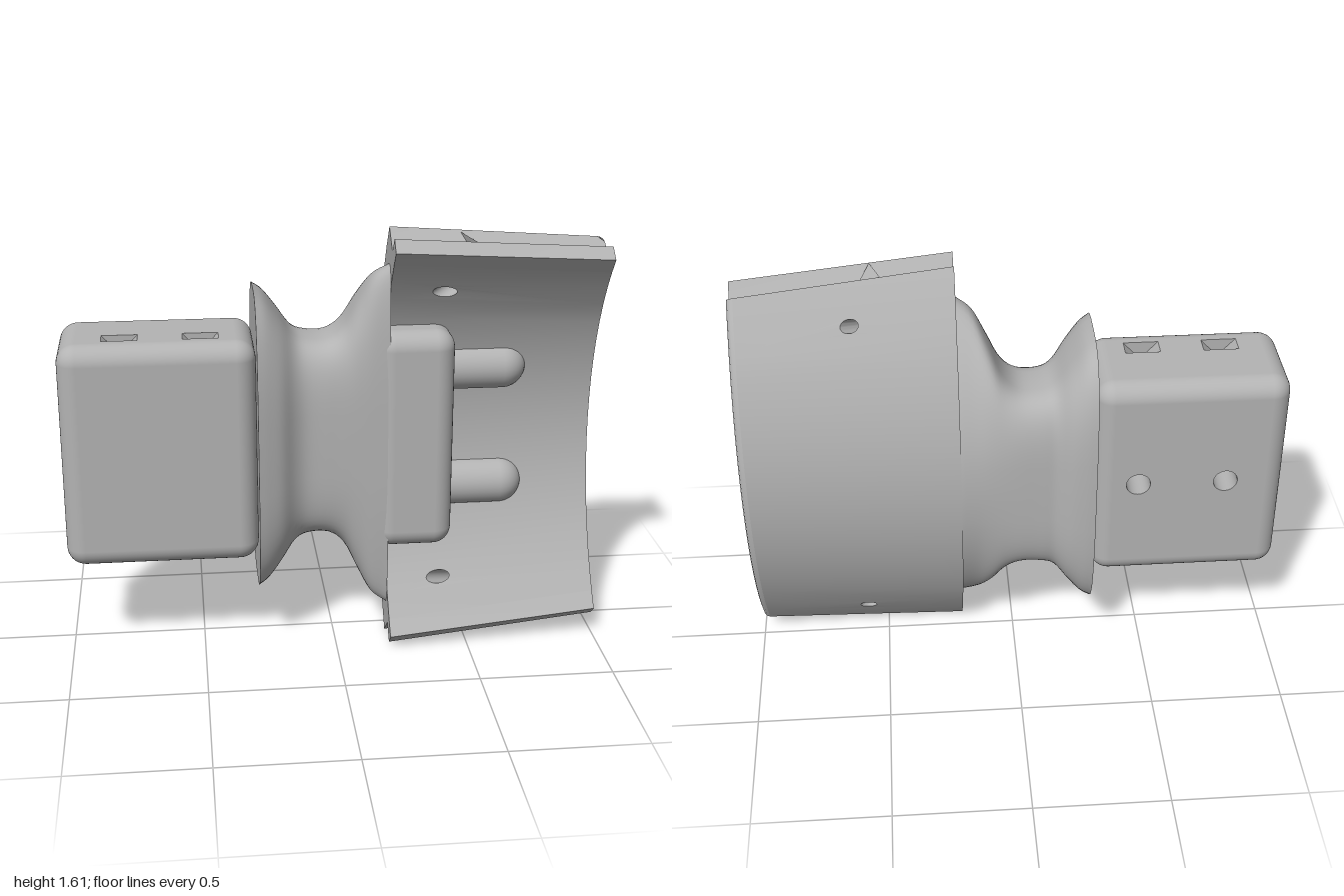
import * as THREE from 'three';
import { mergeGeometries, toCreasedNormals } from 'three/addons/utils/BufferGeometryUtils.js';
import { RoundedBoxGeometry } from 'three/addons/geometries/RoundedBoxGeometry.js';
import { ConvexGeometry } from 'three/addons/geometries/ConvexGeometry.js';

const V = (x, y, z) => new THREE.Vector3(x, y, z);
const MID = 0.815; // height of the symmetry plane
const grey = new THREE.MeshStandardMaterial({ color: 0xb3b3b3, side: THREE.DoubleSide });
grey.name = 'grey plastic';

// Skin a list of equally long rings of points
function loft(rings, closed = true) {
  const n = rings[0].length, index = [];
  for (let i = 0; i < rings.length - 1; i++) {
    for (let j = 0; j < (closed ? n : n - 1); j++) {
      const k = (j + 1) % n, a = i * n + j, b = i * n + k;
      index.push(a, b, b + n, a, b + n, a + n);
    }
  }
  const g = new THREE.BufferGeometry().setFromPoints(rings.flat());
  g.setIndex(index);
  return toCreasedNormals(g, 0.6);
}

function ellipse(x, y, rx, ry, n = 24) {
  return Array.from({ length: n }, (_, i) => {
    const a = i / n * Math.PI * 2;
    return new THREE.Vector2(x + rx * Math.cos(a), y + ry * Math.sin(a));
  });
}

function holedRect(x0, y0, x1, y1, holes) {
  const shape = new THREE.Shape([[x0, y0], [x1, y0], [x1, y1], [x0, y1]].map(p => new THREE.Vector2(...p)));
  holes.forEach(h => shape.holes.push(new THREE.Path(h)));
  const g = new THREE.ShapeGeometry(shape);
  g.deleteAttribute('uv');
  return g;
}

function mesh(geometry, name, parent) {
  const m = new THREE.Mesh(geometry, grey);
  m.name = name;
  parent.add(m);
  return m;
}

// Rounded block with sunken pockets: rounded edges plus six flat panels with holes
function blockGeometry(size, r, pockets) {
  const half = size.clone().multiplyScalar(0.5);
  const round = new RoundedBoxGeometry(size.x, size.y, size.z, 5, r);
  const p = round.attributes.position, nm = round.attributes.normal, pos = [], nor = [];
  for (let i = 0; i < p.count; i += 3) {
    const flat = ['X', 'Y', 'Z'].some(c => [0, 1, 2].every(k =>
      Math.abs(Math.abs(p['get' + c](i + k)) - half[c.toLowerCase()]) < 1e-5));
    if (flat) continue;
    for (let k = i; k < i + 3; k++) {
      pos.push(p.getX(k), p.getY(k), p.getZ(k));
      nor.push(nm.getX(k), nm.getY(k), nm.getZ(k));
    }
  }
  const edges = new THREE.BufferGeometry();
  edges.setAttribute('position', new THREE.Float32BufferAttribute(pos, 3));
  edges.setAttribute('normal', new THREE.Float32BufferAttribute(nor, 3));
  const parts = [edges];
  const X = V(1, 0, 0), Y = V(0, 1, 0), Z = V(0, 0, 1), neg = v => v.clone().negate();
  const faces = {
    right: [neg(Z), Y, X], left: [Z, Y, neg(X)], top: [X, neg(Z), Y],
    bottom: [X, Z, neg(Y)], front: [X, Y, Z], back: [neg(X), Y, neg(Z)],
  };
  for (const [name, [u, v, n]] of Object.entries(faces)) {
    const w = Math.abs(u.dot(half)) - r, h = Math.abs(v.dot(half)) - r;
    const list = pockets[name] || [];
    const m = new THREE.Matrix4().makeBasis(u, v, n).setPosition(n.clone().multiplyScalar(Math.abs(n.dot(half))));
    parts.push(holedRect(-w, -h, w, h, list.map(q => q.rim)).toNonIndexed().applyMatrix4(m));
    for (const q of list) {
      const ring = (sx, sy, z) => q.rim.map(a => V(q.u + (a.x - q.u) * sx, q.v + (a.y - q.v) * sy, z));
      parts.push(loft([ring(1, 1, 0), ring(q.taper, 1, -q.depth), ring(0, 0, -q.depth)]).applyMatrix4(m));
    }
  }
  return mergeGeometries(parts);
}

const roundPocket = (u, v, r, depth) => ({ u, v, depth, taper: 1, rim: ellipse(u, v, r, r) });
const slotPocket = (u, v, w, h, depth) => ({
  u, v, depth, taper: 0,
  rim: [[-w, -h], [w, -h], [w, h], [-w, h]].map(([a, b]) => new THREE.Vector2(u + a, v + b)),
});

// Flared neck: stations along x, rounded sections that bend to meet the curved plate
function neckGeometry() {
  // x, half height, front z, back z, squareness, bend
  const stations = [
    [-0.29, 0.575, 0.265, -0.265, 3.4, 0], [-0.25, 0.545, 0.25, -0.262, 3.4, 0],
    [-0.2, 0.48, 0.225, -0.25, 3.4, 0], [-0.15, 0.41, 0.18, -0.222, 3.6, 0],
    [-0.1, 0.385, 0.158, -0.218, 3.8, 0], [-0.02, 0.386, 0.155, -0.218, 3.8, 0.1],
    [0.04, 0.435, 0.155, -0.218, 3.4, 0.3], [0.09, 0.535, 0.155, -0.218, 3, 0.6],
    [0.14, 0.625, 0.155, -0.218, 2.7, 0.9], [0.2, 0.67, 0.155, -0.218, 2.5, 1],
  ];
  const a = new THREE.CatmullRomCurve3(stations.map(s => V(s[0], s[1], s[4])), false, 'catmullrom');
  const b = new THREE.CatmullRomCurve3(stations.map(s => V(s[2], s[3], s[5])), false, 'catmullrom');
  const rings = [], steps = 36, sides = 56;
  for (let i = 0; i <= steps; i++) {
    const { x, y: h, z: n } = a.getPoint(i / steps), { x: f, y: k, z: bend } = b.getPoint(i / steps);
    rings.push(Array.from({ length: sides }, (_, j) => {
      const t = j / sides * Math.PI * 2, pw = c => Math.sign(c) * Math.abs(c) ** (2 / n);
      const c = pw(Math.cos(t)), dy = h * pw(Math.sin(t));
      const sag = 1.25 - Math.sqrt(1.5625 - dy * dy);
      return V(x, MID + dy, (f + k) / 2 + (f - k) / 2 * c + bend * sag * (0.6 - 0.4 * c));
    }));
  }
  const cap = r => r.map(q => V(q.x, MID, 0));
  return loft([cap(rings[0]), ...rings, cap(rings[steps])]);
}

// Curved plate in polar form: t runs -1..1 over an arc that narrows with x
const IN = 1.08, STEP = 1.14, OUT = 1.25, X0 = 0.2, X1 = 1;
function platePoint(x, t, r, extra = 0) {
  const a = THREE.MathUtils.degToRad(t * (40 - 5 * (x - X0)) + extra);
  return V(x, MID + r * Math.sin(a), 1.03 - r * Math.cos(a));
}

function plateGeometry() {
  const bands = 16, parts = [], holeT = 0.8125;
  const skin = (r, x1, holeX, rx, ry) => {
    const strips = [];
    for (let i = 0; i < bands; i++) {
      const t0 = -1 + 2 * i / bands, t1 = t0 + 2 / bands, tc = (t0 + t1) / 2;
      const holes = Math.abs(Math.abs(tc) - holeT) < 0.01 ? [ellipse(holeX, tc, rx, ry)] : [];
      const g = holedRect(X0, t0, x1, t1, holes), p = g.attributes.position;
      for (let k = 0; k < p.count; k++) {
        const q = platePoint(p.getX(k), p.getY(k), r);
        p.setXYZ(k, q.x, q.y, q.z);
      }
      g.deleteAttribute('normal');
      strips.push(g);
    }
    parts.push(toCreasedNormals(mergeGeometries(strips), 0.5));
  };
  skin(IN, X1, 0.4, 0.045, 0.035);
  skin(OUT, 0.975, 0.575, 0.032, 0.03);
  // slanted screw holes
  for (const s of [-1, 1]) {
    parts.push(loft([
      ellipse(0.4, s * holeT, 0.045, 0.035).map(e => platePoint(e.x, e.y, IN)),
      ellipse(0.575, s * holeT, 0.032, 0.03).map(e => platePoint(e.x, e.y, OUT)),
    ]));
  }
  // side edges, the outer one softly rounded
  const edge = profile => loft(Array.from({ length: bands + 1 }, (_, i) =>
    profile.map(([x, r]) => platePoint(x, -1 + 2 * i / bands, r))), false);
  parts.push(edge([[X0, IN], [X0, OUT]]));
  parts.push(edge([[0.975, OUT], [0.986, 1.247], [0.995, 1.239], [X1, 1.225], [X1, IN]]));
  // end faces
  for (const t of [-1, 1]) {
    parts.push(loft([[X0, OUT], [0.975, OUT], [X1, 1.225]].map(([x, r]) =>
      [platePoint(x, t, IN), platePoint(x, t, r)]), false));
  }
  return mergeGeometries(parts);
}

// Thin lip that continues the inside of the plate past each end
function lipGeometry(s) {
  const ring = e => [[X0, IN], [X1, IN], [X1, STEP], [X0, STEP]].map(([x, r]) => platePoint(x, s, r, s * e));
  const end = ring(3.8), c = platePoint(0.6, s, 1.11, s * 3.8);
  return loft([ring(0), end, end.map(() => c)]);
}

export function createModel() {
  const model = new THREE.Group();
  model.name = 'curvedPlateConnector';

  // Socket block with pin sockets, screw holes and latch slots
  mesh(blockGeometry(V(0.71, 0.85, 0.4), 0.07, {
    left: [0.235, -0.235].map(v => roundPocket(-0.06, v, 0.068, 0.3)),
    back: [-0.19, 0.135].map(u => roundPocket(u, 0, 0.045, 0.12)),
    top: [-0.13, 0.16].map(u => slotPocket(u, -0.075, 0.065, 0.035, 0.07)),
  }), 'socketBlock', model).position.set(-0.645, MID, 0.02);

  mesh(neckGeometry(), 'flaredNeck', model);

  // Plug block and its two round-ended pins
  mesh(new RoundedBoxGeometry(0.295, 0.85, 0.26, 5, 0.07), 'plugBlock', model).position.set(0.2975, MID, 0.03);
  for (const s of [1, -1]) {
    const pin = mesh(new THREE.CapsuleGeometry(0.09, 0.26, 10, 28), s > 0 ? 'upperPin' : 'lowerPin', model);
    pin.rotation.z = Math.PI / 2;
    pin.position.set(0.52, MID + s * 0.235, -0.05);
  }

  // Curved plate with a stepped lip and a small catch at both ends
  mesh(plateGeometry(), 'curvedPlate', model);
  for (const s of [1, -1]) {
    const side = s > 0 ? 'upper' : 'lower';
    mesh(lipGeometry(s), side + 'Lip', model);
    mesh(new ConvexGeometry([
      platePoint(0.46, s, 1.24), platePoint(0.54, s, 1.18),
      platePoint(0.5, s, STEP, s * 3.7), platePoint(0.5, s, STEP, -s),
    ]), side + 'Catch', model);
  }
  return model;
}
